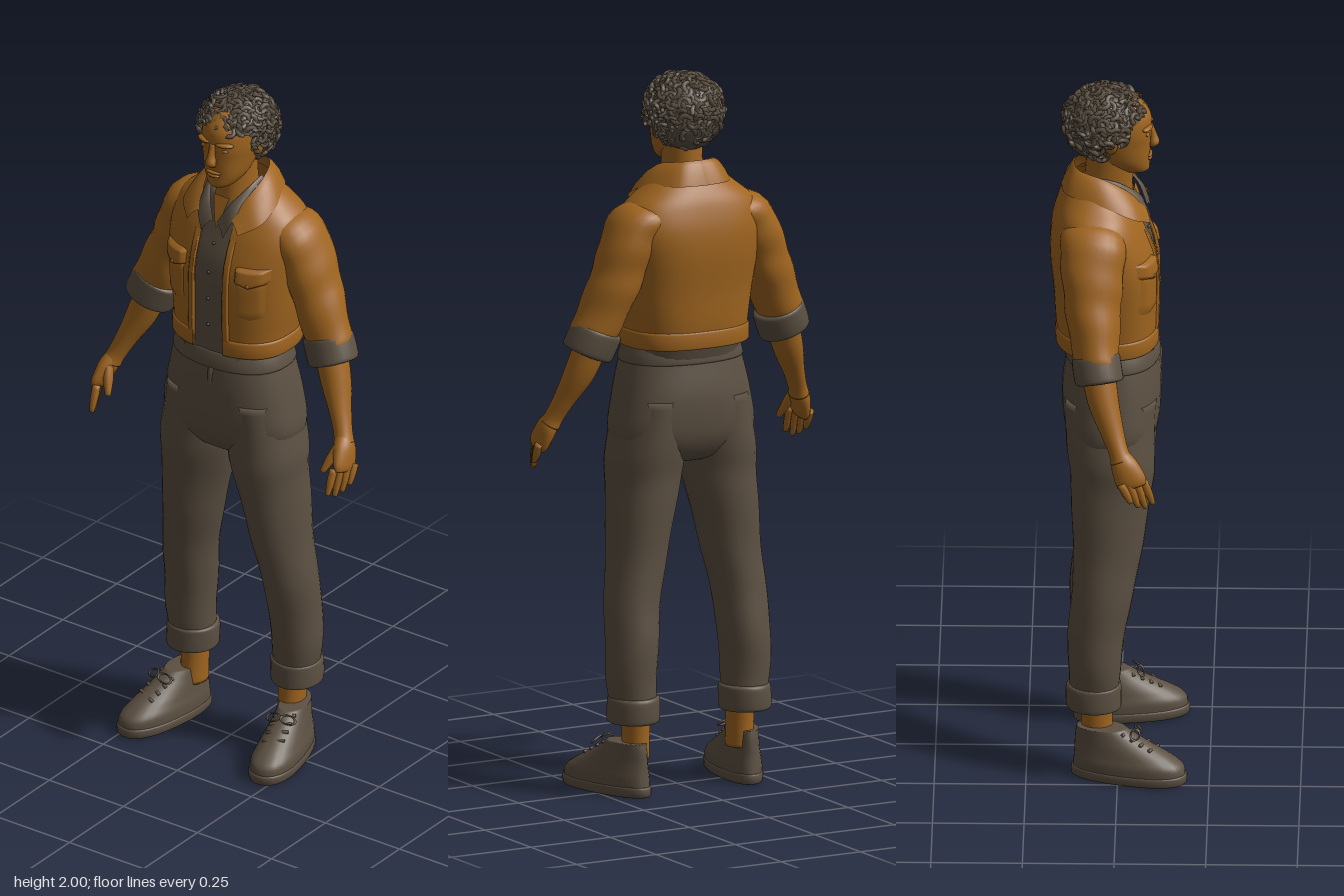
import * as THREE from 'three';
import { mergeGeometries } from 'three/addons/utils/BufferGeometryUtils.js';

const tan = new THREE.MeshStandardMaterial({ color: 0xa0651f, side: THREE.DoubleSide });
tan.name = 'ochre';
const dark = new THREE.MeshStandardMaterial({ color: 0x5c5042, side: THREE.DoubleSide });
dark.name = 'taupe';
const V = (x, y, z) => new THREE.Vector3(x, y, z);

// Mesh from a grid of points; closed joins the last column to the first
function surface(rows, closed) {
  const n = rows[0].length, idx = [];
  const cols = closed ? n : n - 1;
  for (let i = 0; i < rows.length - 1; i++) {
    for (let j = 0; j < cols; j++) {
      const a = i * n + j, b = i * n + (j + 1) % n;
      idx.push(a, a + n, b, b, a + n, b + n);
    }
  }
  const g = new THREE.BufferGeometry().setFromPoints(rows.flat());
  g.setIndex(idx);
  g.computeVertexNormals();
  return g;
}

// Smoothly subdivide rings of [x, y, z, rx, rz, squareness, frontGap]
function dense(rings, sub = 5) {
  const full = rings.map(r => [...r, ...[2, 0].slice(Math.max(0, r.length - 5))]);
  const out = [], at = i => full[Math.min(Math.max(i, 0), full.length - 1)];
  for (let i = 0; i < full.length - 1; i++) {
    for (let s = 0; s < sub; s++) {
      const t = s / sub;
      out.push(at(i).map((b, k) => {
        const a = at(i - 1)[k], c = at(i + 1)[k], d = at(i + 2)[k];
        return b + 0.5 * t * (c - a + t * (2 * a - 5 * b + 4 * c - d + t * (3 * (b - c) + d - a)));
      }));
    }
  }
  out.push(full[full.length - 1]);
  return out;
}

// Loft through rings; level keeps every section horizontal
function loft(rings, { level = false, sub = 5, seg = 28, fold = 0, pitch = 0.8 } = {}) {
  const d = dense(rings, sub), open = d[0][6] > 0;
  const c = d.map(r => V(r[0], r[1], r[2]));
  const rows = d.map((r, i) => {
    const t = level ? V(0, -1, 0)
      : c[Math.min(i + 1, c.length - 1)].clone().sub(c[Math.max(i - 1, 0)]).normalize();
    const side = V(0, 0, 1).cross(t).normalize(), front = t.clone().cross(side);
    const [rx, rz, n, gap] = r.slice(3);
    const a0 = open ? Math.asin(Math.min(1, gap / rx) ** (n / 2)) : 0;
    const pow = v => Math.sign(v) * Math.abs(v) ** (2 / n);
    return Array.from({ length: open ? seg + 1 : seg }, (_, j) => {
      const a = a0 + (2 * Math.PI - 2 * a0) * j / seg;
      const k = 1 + fold * Math.sin(2 * a + i * pitch) * Math.sin(a - i * pitch * 0.6);
      return c[i].clone().addScaledVector(side, pow(Math.sin(a)) * rx * k)
        .addScaledVector(front, pow(Math.cos(a)) * rz * k);
    });
  });
  if (!open) {
    rows.unshift(rows[0].map(() => c[0].clone()));
    rows.push(rows[1].map(() => c[c.length - 1].clone()));
  }
  return surface(rows, !open);
}

function add(parent, name, geo, mat) {
  const m = new THREE.Mesh(geo, mat);
  m.name = name;
  parent.add(m);
  return m;
}
function ball(parent, name, mat, p, s) {
  const m = add(parent, name, new THREE.SphereGeometry(1, 18, 12), mat);
  m.position.set(...p);
  m.scale.set(...s);
  return m;
}
const rod = (a, b, r0, r1) => loft([[...a, r0, r0], [...a.map((v, i) => (v + b[i]) / 2), r0, r0],
  [...b, r1, r1]], { sub: 3, seg: 8 });

// Rolled band around a limb
const roll = (a, b, rx, rz) => {
  const at = t => a.map((v, i) => v + (b[i] - v) * t);
  return loft([[...a, rx * 0.85, rz * 0.85], [...at(0.06), rx * 0.97, rz * 0.97], [...at(0.25), rx, rz],
    [...at(0.8), rx, rz], [...at(0.95), rx * 0.96, rz * 0.96], [...b, rx * 0.8, rz * 0.8]], { sub: 3, fold: 0.02, pitch: 0.3 });
};

// Strip between two smooth edges
function strip(inner, outer) {
  const edge = e => new THREE.CatmullRomCurve3(e.map(p => V(...p))).getPoints(20);
  const a = edge(inner), b = edge(outer);
  return surface([0, 0.3, 0.7, 1].map(t => a.map((p, i) => {
    const q = p.clone().lerp(b[i], t);
    q.y += 0.012 * Math.sin(Math.PI * t);
    return q;
  })), false);
}

const jacketRings = [
  [0, 1.25, -0.03, 0.172, 0.134, 2.5, 0.05], [0, 1.31, -0.032, 0.178, 0.14, 2.5, 0.05],
  [0, 1.4, -0.035, 0.19, 0.144, 2.5, 0.048], [0, 1.5, -0.042, 0.2, 0.146, 2.6, 0.046],
  [0, 1.58, -0.054, 0.205, 0.132, 2.6, 0.046], [0, 1.64, -0.06, 0.19, 0.112, 2.4, 0.048],
  [0, 1.685, -0.06, 0.14, 0.092, 2.2, 0.052], [0, 1.73, -0.052, 0.085, 0.074, 2, 0.06]];
const jacketDense = dense(jacketRings);

function chestZ(x, y) {
  const i = Math.max(1, jacketDense.findIndex(r => r[1] >= y));
  const a = jacketDense[i - 1], b = jacketDense[i], t = (y - a[1]) / (b[1] - a[1]);
  const [cz, rx, rz, n] = [2, 3, 4, 5].map(k => a[k] + (b[k] - a[k]) * t);
  return cz + rz * Math.max(0, 1 - (Math.abs(x) / rx) ** n) ** (1 / n);
}
// Raised patch following the chest; drop makes a pointed lower edge
function patch(x0, x1, top, bottom, drop = 0, lift = 0.008) {
  const rows = [], N = 8;
  for (let i = 0; i <= N; i++) {
    rows.push(Array.from({ length: N + 1 }, (_, j) => {
      const u = j / N, x = x0 + (x1 - x0) * u;
      const low = bottom - drop * (1 - Math.abs(2 * u - 1));
      const y = top + (low - top) * i / N;
      const rim = i === 0 || j === 0 || i === N || j === N;
      return V(x, y, chestZ(x, y) + (rim ? -0.003 : lift));
    }));
  }
  return surface(rows, false);
}

function buildHead(g) {
  add(g, 'neck', loft([[0, 1.62, -0.035, 0.066, 0.075], [0, 1.7, -0.03, 0.056, 0.068],
    [0, 1.76, -0.025, 0.054, 0.066], [0, 1.83, -0.02, 0.055, 0.068]], { level: true }), tan);
  add(g, 'face', loft([[0, 1.742, 0.052, 0.018, 0.022], [0, 1.752, 0.04, 0.038, 0.044],
    [0, 1.782, 0.014, 0.058, 0.07, 2.2], [0, 1.83, -0.002, 0.07, 0.089, 2.1], [0, 1.87, -0.01, 0.076, 0.099, 2.2],
    [0, 1.92, -0.015, 0.075, 0.1], [0, 1.965, -0.02, 0.05, 0.07]], { level: true }), tan);
  add(g, 'nose', loft([[0, 1.882, 0.084, 0.009, 0.008], [0, 1.85, 0.092, 0.01, 0.012],
    [0, 1.828, 0.096, 0.016, 0.015], [0, 1.816, 0.092, 0.012, 0.01]], { level: true }), tan);
  ball(g, 'upperLip', tan, [0, 1.793, 0.083], [0.024, 0.005, 0.009]);
  ball(g, 'lowerLip', tan, [0, 1.783, 0.082], [0.02, 0.006, 0.009]);
  for (const s of [-1, 1]) {
    ball(g, 'brow', tan, [s * 0.034, 1.884, 0.078], [0.026, 0.007, 0.012]).rotation.y = s * 0.35;
    ball(g, 'eye', tan, [s * 0.031, 1.865, 0.078], [0.014, 0.006, 0.006]);
    ball(g, 'ear', tan, [s * 0.079, 1.852, -0.02], [0.011, 0.03, 0.018]).rotation.z = -s * 0.2;
  }
  // Curly hair: smooth cap, back mass and scattered ringlets
  const cap = add(g, 'hairCap', new THREE.SphereGeometry(1, 28, 14, 0, Math.PI * 2, 0, 1.35), dark);
  cap.position.set(0, 1.888, -0.035);
  cap.scale.set(0.104, 0.1, 0.112);
  ball(g, 'hairBack', dark, [0, 1.884, -0.066], [0.1, 0.1, 0.084]);
  let seed = 7;
  const rnd = () => (seed = (seed * 16807) % 2147483647) / 2147483647;
  const curls = [], N = 400;
  for (let i = 0; i < N; i++) {
    const h = 1 - 2 * (i + 0.5) / N, a = i * 2.39996, r = Math.sqrt(1 - h * h);
    const n = V(r * Math.cos(a), h, r * Math.sin(a));
    const p = n.clone().multiply(V(0.105, 0.1, 0.114)).add(V(0, 1.888, -0.035));
    if (p.y < 1.797 || (p.z > 0.03 && p.y < 1.918) || (p.z > -0.035 && p.y < 1.862)) continue;
    const s = 0.8 + rnd() * 0.4;
    const t = new THREE.TorusGeometry(0.013 * s, 0.0065 * s, 5, 9, 3.5 + rnd() * 1.5);
    t.rotateZ(rnd() * 6.28).rotateX((rnd() - 0.5) * 1.3);
    t.applyQuaternion(new THREE.Quaternion().setFromUnitVectors(V(0, 0, 1), n));
    curls.push(t.translate(p.x, p.y, p.z));
  }
  add(g, 'hairCurls', mergeGeometries(curls), dark);
}

function buildTorso(g) {
  add(g, 'shirt', loft([[0, 1.2, -0.02, 0.155, 0.122, 2.4], [0, 1.3, -0.03, 0.165, 0.135, 2.5],
    [0, 1.42, -0.034, 0.178, 0.139, 2.5], [0, 1.52, -0.044, 0.185, 0.138, 2.5], [0, 1.6, -0.056, 0.18, 0.122, 2.4],
    [0, 1.65, -0.056, 0.13, 0.105, 2.2], [0, 1.69, -0.045, 0.066, 0.08]], { level: true }), dark);
  add(g, 'jacketBody', loft(jacketRings, { level: true, seg: 48, fold: 0.008, pitch: 0.35 }), tan);
  const hem = [[1.248, 0], [1.252, 0.005], [1.29, 0.005], [1.296, 0]];
  add(g, 'jacketHem', loft(hem.map(([y, o]) => [0, y, -0.031, 0.176 + o, 0.138 + o, 2.5, 0.05]),
    { level: true, seg: 48, sub: 2 }), tan);
  // Bare skin in the open neck
  add(g, 'openNeck', surface([[V(-0.026, 1.7, 0.043), V(0.026, 1.7, 0.043)], [V(-0.016, 1.66, 0.058), V(0.016, 1.66, 0.058)],
    [V(-0.002, 1.615, 0.072), V(0.002, 1.615, 0.072)]], false), tan);
  for (let i = 0; i < 4; i++) ball(g, 'shirtButton', dark, [0, 1.57 - i * 0.08, chestZ(0, 1.57 - i * 0.08)], [0.005, 0.005, 0.004]);
}

// Everything mirrored, modelled on the +x side
function buildSide(g) {
  add(g, 'jacketCollar', strip(
    [[0.045, 1.655, 0.07], [0.072, 1.71, 0.025], [0.08, 1.748, -0.04], [0.05, 1.762, -0.108], [0, 1.764, -0.122]],
    [[0.085, 1.622, 0.088], [0.132, 1.652, 0.04], [0.13, 1.692, -0.05], [0.075, 1.7, -0.142], [0, 1.7, -0.158]]), tan);
  add(g, 'shirtCollar', strip(
    [[0.006, 1.635, 0.076], [0.034, 1.69, 0.05], [0.06, 1.73, 0.0], [0.064, 1.745, -0.05]],
    [[0.036, 1.6, 0.09], [0.06, 1.655, 0.072], [0.078, 1.7, 0.01], [0.08, 1.72, -0.05]]), dark);
  add(g, 'placket', patch(0.047, 0.068, 1.615, 1.255, 0, 0.006), tan);
  add(g, 'chestPocket', patch(0.085, 0.165, 1.5, 1.375, 0.012, 0.006), tan);
  add(g, 'pocketFlap', patch(0.08, 0.172, 1.53, 1.488, 0.02, 0.013), tan);
  ball(g, 'pocketButton', tan, [0.126, 1.482, chestZ(0.126, 1.482) + 0.013], [0.006, 0.006, 0.004]);

  add(g, 'sleeve', loft([[0.125, 1.615, -0.064, 0.05, 0.085], [0.175, 1.58, -0.068, 0.073, 0.09],
    [0.215, 1.5, -0.07, 0.07, 0.083], [0.25, 1.41, -0.066, 0.068, 0.074], [0.292, 1.31, -0.055, 0.066, 0.062],
    [0.3, 1.29, -0.053, 0.062, 0.06]], { fold: 0.05, pitch: 0.7 }), tan);
  add(g, 'sleeveCuff', roll([0.283, 1.316, -0.058], [0.312, 1.243, -0.047], 0.074, 0.067), dark);
  add(g, 'forearm', loft([[0.29, 1.3, -0.055, 0.045, 0.048], [0.325, 1.2, -0.038, 0.043, 0.043],
    [0.36, 1.12, -0.012, 0.03, 0.032], [0.382, 1.07, 0.006, 0.026, 0.027], [0.392, 1.045, 0.015, 0.027, 0.032]]), tan);
  add(g, 'palm', loft([[0.385, 1.065, 0.01, 0.022, 0.024], [0.398, 1.035, 0.022, 0.026, 0.037],
    [0.41, 0.995, 0.04, 0.02, 0.042], [0.413, 0.978, 0.046, 0.013, 0.036]], { seg: 18 }), tan);
  for (let i = 0; i < 4; i++) {
    add(g, 'finger', rod([0.427 - 0.009 * i, 0.992, 0.014 + 0.02 * i],
      [0.428 - 0.01 * i, [0.938, 0.922, 0.914, 0.922][i], 0.04 + 0.02 * i], 0.0115, 0.007), tan);
  }
  add(g, 'thumb', rod([0.388, 1.045, 0.035], [0.362, 0.972, 0.075], 0.014, 0.008), tan);

  add(g, 'trouserLeg', loft([[0.1, 1.1, -0.02, 0.09, 0.125], [0.109, 0.95, -0.018, 0.108, 0.12],
    [0.122, 0.85, -0.018, 0.1, 0.112], [0.142, 0.7, -0.028, 0.085, 0.098], [0.163, 0.57, -0.038, 0.077, 0.086],
    [0.175, 0.45, -0.056, 0.073, 0.08], [0.179, 0.33, -0.062, 0.07, 0.072], [0.175, 0.24, -0.065, 0.062, 0.066]],
  { level: true, fold: 0.03, pitch: 0.5 }), dark);
  add(g, 'trouserCuff', roll([0.175, 0.278, -0.065], [0.175, 0.203, -0.065], 0.072, 0.076), dark);
  add(g, 'pleat', rod([0.085, 1.2, 0.09], [0.1, 1.03, 0.096], 0.006, 0.002), dark);
  for (const a of [0.55, 2.5]) {
    const loop = add(g, 'beltLoop', new THREE.BoxGeometry(0.014, 0.055, 0.01), dark);
    loop.position.set(0.17 * Math.sin(a), 1.222, -0.017 + 0.125 * Math.cos(a));
    loop.rotation.y = a;
  }
  add(g, 'ankle', loft([[0.165, 0.26, -0.06, 0.04, 0.046], [0.164, 0.17, -0.058, 0.037, 0.043],
    [0.164, 0.1, -0.055, 0.037, 0.045]], { level: true }), tan);

  // Shoe, toe turned outward
  const shoe = new THREE.Group();
  shoe.name = 'shoe';
  shoe.position.set(0.2, 0, 0.031);
  shoe.rotation.y = 0.21;
  g.add(shoe);
  const flare = geo => {
    const p = geo.attributes.position;
    for (let i = 0; i < p.count; i++) p.setX(i, p.getX(i) * (1 + 0.9 * p.getZ(i)));
    geo.computeVertexNormals();
    return geo;
  };
  add(shoe, 'sole', flare(loft([[0, 0, 0, 0.058, 0.155, 2.3], [0, 0.006, 0, 0.063, 0.161, 2.3],
    [0, 0.024, 0, 0.064, 0.162, 2.3], [0, 0.029, 0, 0.06, 0.158, 2.3]], { level: true, sub: 2 })), dark);
  add(shoe, 'upper', flare(loft([[0, 0.02, 0, 0.061, 0.158, 2.3], [0, 0.05, -0.002, 0.061, 0.153, 2.3],
    [0, 0.075, -0.018, 0.055, 0.135, 2.2], [0, 0.1, -0.04, 0.05, 0.112], [0, 0.125, -0.062, 0.045, 0.088],
    [0, 0.148, -0.078, 0.042, 0.068]], { level: true })), dark);
  for (let i = 0; i < 4; i++) {
    const z = 0.075 - i * 0.025, y = 0.103 + i * 0.013, w = 0.03;
    add(shoe, 'lace', rod([-w, y - 0.012, z], [w, y - 0.004, z - 0.012], 0.005, 0.005), dark);
  }
  for (const s of [-1, 1]) {
    const bow = add(shoe, 'laceBow', new THREE.TorusGeometry(0.016, 0.003, 6, 14), dark);
    bow.position.set(s * 0.022, 0.14, 0.022);
    bow.rotation.set(-0.9, s * 0.3, 0);
    bow.scale.set(1.3, 0.8, 1);
  }
}

export function createModel() {
  const model = new THREE.Group();
  model.name = 'standingMan';
  buildHead(model);
  buildTorso(model);
  add(model, 'trouserHips', loft([[0, 1.25, -0.017, 0.158, 0.117, 2.3], [0, 1.2, -0.015, 0.175, 0.127, 2.3],
    [0, 1.1, -0.019, 0.197, 0.136, 2.4], [0, 1.0, -0.02, 0.209, 0.128, 2.5], [0, 0.94, -0.02, 0.17, 0.1, 2.2],
    [0, 0.92, -0.02, 0.1, 0.07]], { level: true, seg: 40 }), dark);
  add(model, 'waistband', loft([[0, 1.2, -0.016, 0.173, 0.126, 2.3], [0, 1.205, -0.016, 0.178, 0.131, 2.3],
    [0, 1.243, -0.017, 0.166, 0.124, 2.3], [0, 1.248, -0.017, 0.16, 0.118, 2.3]], { level: true, seg: 40, sub: 2 }), dark);
  add(model, 'fly', rod([0.012, 1.2, 0.11], [0.004, 1.02, 0.102], 0.009, 0.004), dark);
  for (const s of [1, -1]) {
    const half = new THREE.Group();
    half.name = s > 0 ? 'leftSide' : 'rightSide';
    half.scale.x = s;
    buildSide(half);
    model.add(half);
  }
  return model;
}
